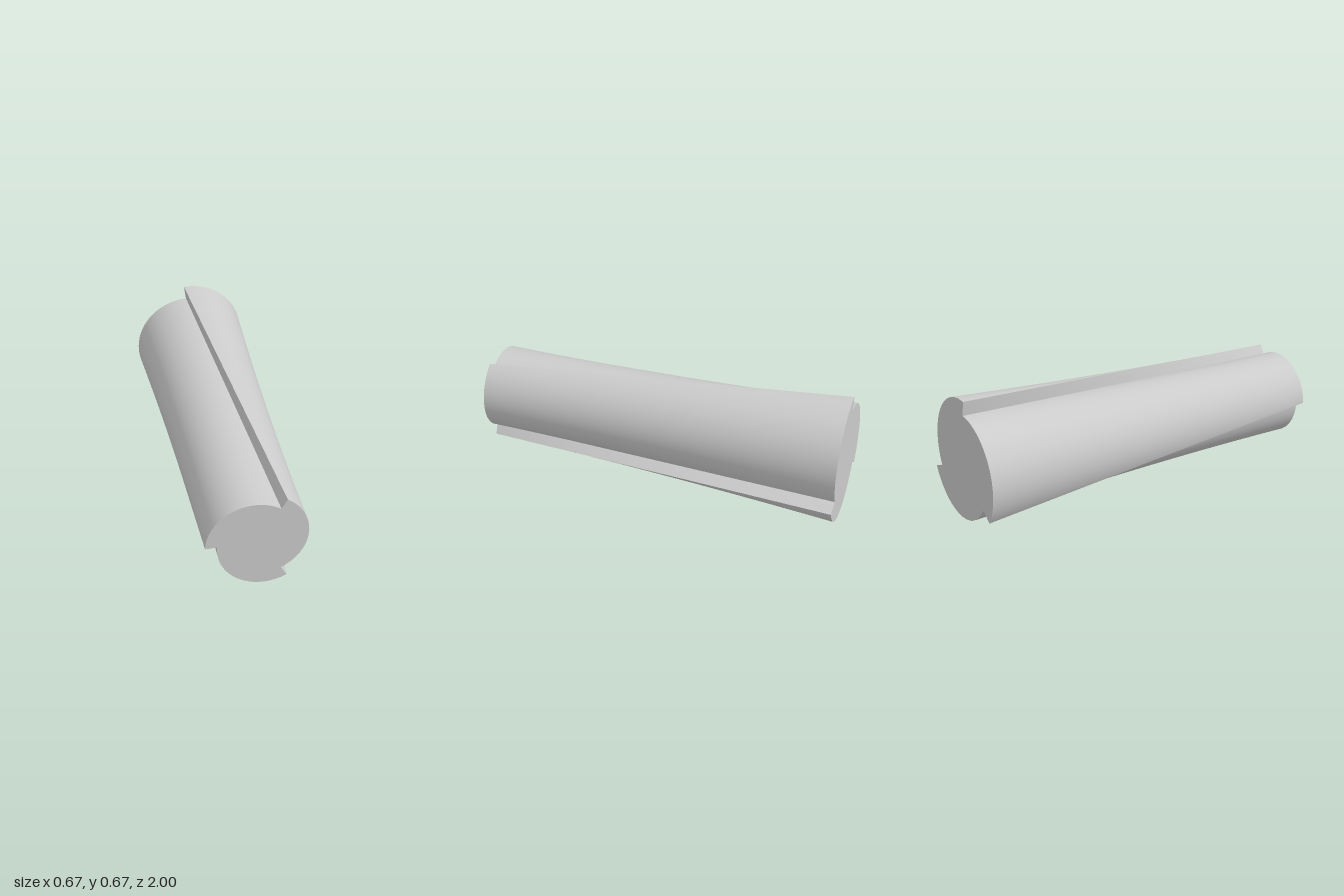
import * as THREE from 'three';

const ARC_STEPS = 48, LENGTH_STEPS = 20, LOBES = 3, TURN = (2 * Math.PI) / LOBES;

// End sections: three circular arcs, each running clockwise from an outer lip to an inner root
const FRONT = { z: 1, x: -0.025, y: 0.318, outer: 0.268, inner: 0.209, lip: 61, radius: 0.236 };
const BACK = { z: -1, x: 0.002, y: 0.314, outer: 0.355, inner: 0.2765, lip: 97.8, radius: 0.312 };

// Point on a lobe of an end section, s = 0 at the lip and 1 at the root
function lobePoint(sec, lobe, s) {
  const start = THREE.MathUtils.degToRad(sec.lip) - lobe * TURN;
  const at = (r, a) => new THREE.Vector2(sec.x + r * Math.cos(a), sec.y + r * Math.sin(a));
  const p = at(sec.outer, start), q = at(sec.inner, start - TURN);
  const chord = q.clone().sub(p), half = chord.length() / 2;
  const inward = new THREE.Vector2(chord.y, -chord.x).normalize();
  const centre = p.clone().add(q).multiplyScalar(0.5)
    .addScaledVector(inward, Math.sqrt(sec.radius ** 2 - half ** 2));
  const a = Math.atan2(p.y - centre.y, p.x - centre.x) - s * 2 * Math.asin(half / sec.radius);
  return new THREE.Vector2(centre.x + sec.radius * Math.cos(a), centre.y + sec.radius * Math.sin(a));
}

// Straight step from the root of one lobe to the lip of the next
function stepPoint(sec, lobe, s) {
  return lobePoint(sec, lobe, 1).lerp(lobePoint(sec, (lobe + 1) % LOBES, 0), s);
}

// Ruled surface stretched from the back section to the front section
function ruledSurface(pointAt, lobe, steps) {
  const geo = new THREE.PlaneGeometry(1, 1, steps, LENGTH_STEPS);
  const pos = geo.attributes.position, uv = geo.attributes.uv;
  for (let i = 0; i < pos.count; i++) {
    const s = uv.getX(i), t = 1 - uv.getY(i);
    const p = pointAt(BACK, lobe, s).lerp(pointAt(FRONT, lobe, s), t);
    pos.setXYZ(i, p.x, p.y, THREE.MathUtils.lerp(BACK.z, FRONT.z, t));
  }
  geo.computeVertexNormals();
  return geo;
}

// Flat end face, side = 1 faces forwards and -1 backwards
function endCap(sec, side) {
  const pts = [];
  for (let k = 0; k < LOBES; k++)
    for (let i = 0; i <= ARC_STEPS; i++) {
      const p = lobePoint(sec, k, i / ARC_STEPS);
      pts.push(new THREE.Vector2(p.x * side, p.y));
    }
  const geo = new THREE.ShapeGeometry(new THREE.Shape(pts));
  if (side < 0) geo.rotateY(Math.PI);
  return geo.translate(0, 0, sec.z);
}

export function createModel() {
  const group = new THREE.Group();
  group.name = 'twistedFlutedShaft';
  const material = new THREE.MeshStandardMaterial({ color: 0xcccccc });
  const add = (name, geo) => {
    const mesh = new THREE.Mesh(geo, material);
    mesh.name = name;
    group.add(mesh);
  };

  // Curved lobes and the step walls between them
  for (let k = 0; k < LOBES; k++) {
    add(`lobe${k + 1}`, ruledSurface(lobePoint, k, ARC_STEPS));
    add(`stepWall${k + 1}`, ruledSurface(stepPoint, k, 1));
  }

  // End faces
  add('frontCap', endCap(FRONT, 1));
  add('backCap', endCap(BACK, -1));
  return group;
}
